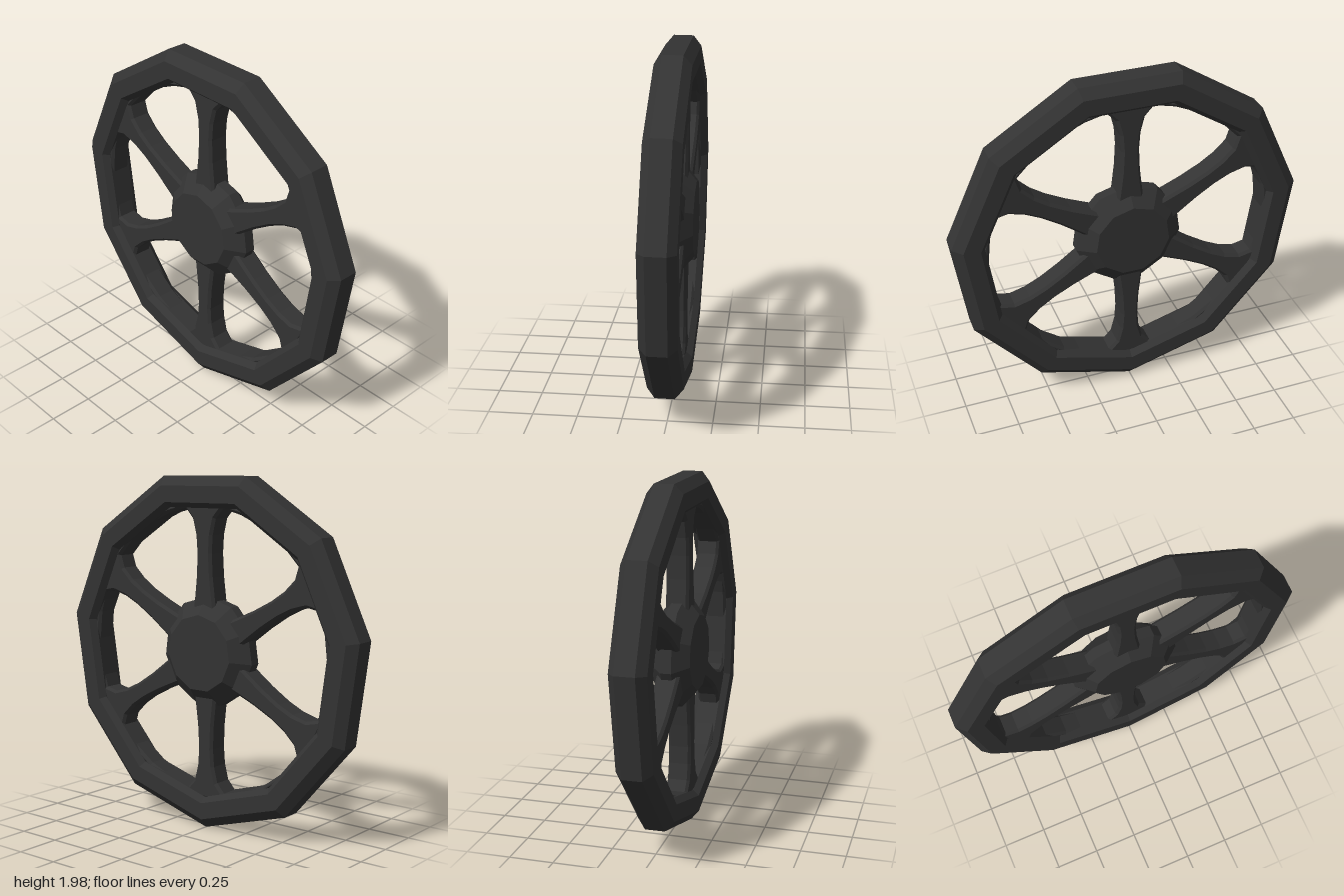
import * as THREE from 'three';

const material = new THREE.MeshStandardMaterial({ color: 0x333333, flatShading: true });

// Faceted ring or disc turned around the wheel axis (z), from [radius, offset] pairs
function turned(name, profile, spin) {
  const points = profile.map(([r, o]) => new THREE.Vector2(r, o));
  const geometry = new THREE.LatheGeometry(points, 11).rotateX(Math.PI / 2).rotateZ(spin);
  const mesh = new THREE.Mesh(geometry, material);
  mesh.name = name;
  return mesh;
}

// Six flared spokes: a plate with six windows and bevelled edges
function makeSpokes() {
  const origin = new THREE.Vector2();
  // One side of a spoke as [half width, distance from the axis], then out along the rim
  const side = [[0.08, 0.22], [0.07, 0.3], [0.056, 0.42], [0.05, 0.55],
    [0.057, 0.65], [0.08, 0.74], [0.13, 0.795], [0.25, 0.765]];
  const step = Math.PI / 3;
  const plate = new THREE.Shape().absarc(0, 0, 0.84, 0, Math.PI * 2, false);
  for (let i = 0; i < 6; i++) {
    const place = (x, y, angle) => new THREE.Vector2(x, y).rotateAround(origin, angle);
    const near = side.map(([w, r]) => place(w, r, -i * step));
    const far = side.map(([w, r]) => place(-w, r, -(i + 1) * step)).reverse();
    const middle = place(0, 0.806, -(i + 0.5) * step);
    plate.holes.push(new THREE.Path([...near, middle, ...far]));
  }
  const bevel = 0.015;
  const geometry = new THREE.ExtrudeGeometry(plate, {
    depth: 0.1, curveSegments: 24, bevelEnabled: true, bevelSegments: 1,
    bevelSize: bevel, bevelThickness: bevel, bevelOffset: -bevel,
  }).translate(0, 0, -0.05);
  const mesh = new THREE.Mesh(geometry, material);
  mesh.name = 'spokes';
  return mesh;
}

export function createModel() {
  const model = new THREE.Group();
  model.name = 'spokedWheel';
  const wheel = new THREE.Group();
  wheel.name = 'wheel';

  // Chamfered eleven-sided rim with one corner at the bottom
  wheel.add(turned('rim', [
    [0.955, -0.1], [1.01, -0.055], [1.01, 0.055], [0.955, 0.1], [0.86, 0.1],
    [0.83, 0.065], [0.83, -0.065], [0.86, -0.1], [0.955, -0.1],
  ], 0));

  // Hub with sloping sides and flat caps
  wheel.add(turned('hub', [
    [0, -0.11], [0.215, -0.11], [0.31, -0.03], [0.31, 0.03], [0.215, 0.11], [0, 0.11],
  ], Math.PI));

  wheel.add(makeSpokes());

  // Axle runs along x, with a very slight lean
  wheel.rotation.y = Math.PI / 2;
  const lean = new THREE.Group();
  lean.name = 'leaningWheel';
  lean.rotation.z = -0.01;
  lean.position.y = 1.01;
  lean.add(wheel);
  model.add(lean);
  return model;
}
